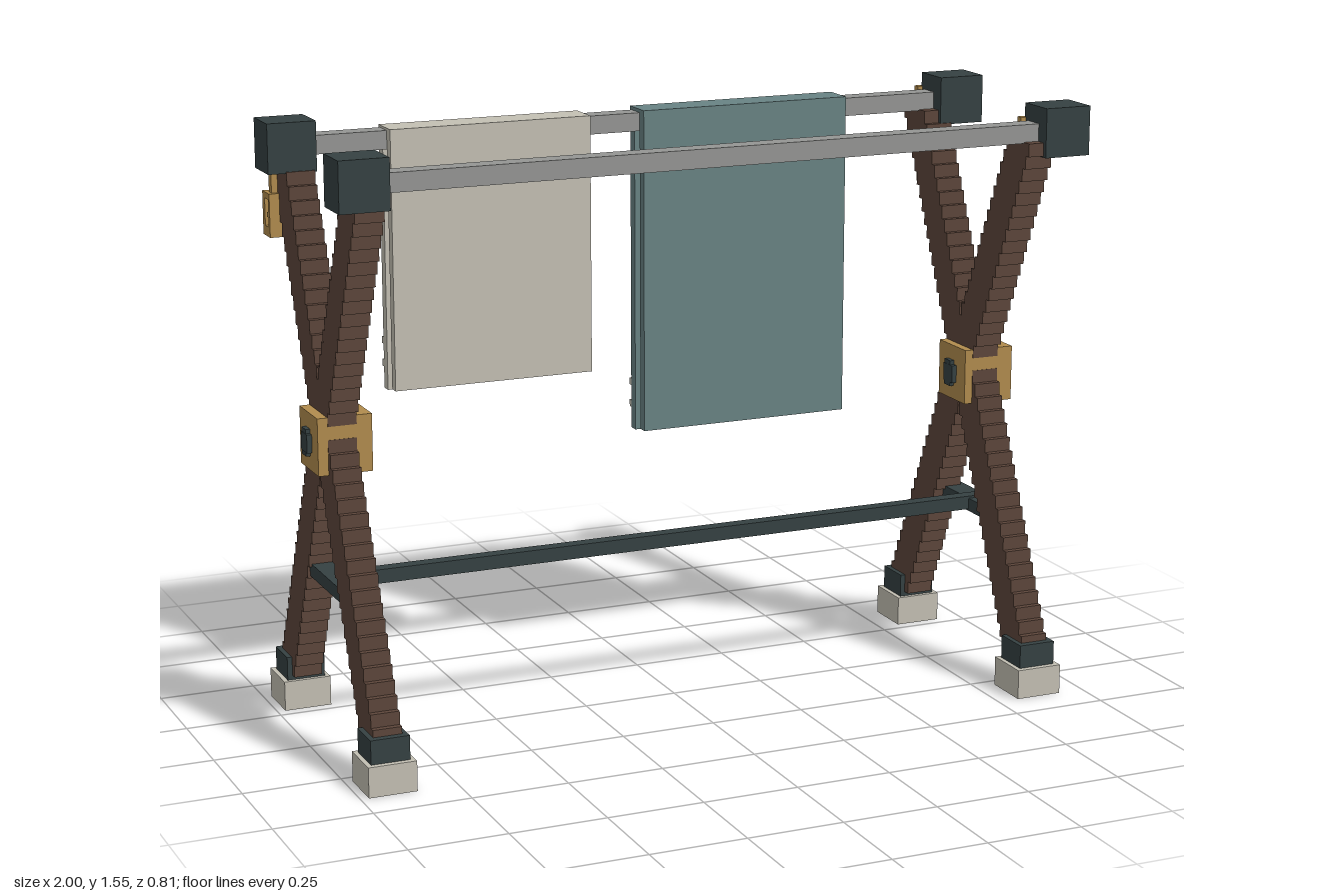
import * as THREE from 'three';

const mat = (name, color) => Object.assign(new THREE.MeshStandardMaterial({ color }), { name });

export function createModel() {
  const wood = mat('brown wood', 0x5d463b);
  const dark = mat('dark slate', 0x354142);
  const gold = mat('brass', 0xb18c4e);
  const cream = mat('cream cloth', 0xc4c0b4);
  const teal = mat('teal cloth', 0x698384);
  const steel = mat('grey steel', 0x959694);

  const model = new THREE.Group();
  model.name = 'towelRack';

  // Box given by its extents on each axis
  function box(parent, name, material, [x0, x1], [y0, y1], [z0, z1]) {
    const mesh = new THREE.Mesh(new THREE.BoxGeometry(x1 - x0, y1 - y0, z1 - z0), material);
    mesh.position.set((x0 + x1) / 2, (y0 + y1) / 2, (z0 + z1) / 2);
    mesh.name = name;
    parent.add(mesh);
    return mesh;
  }
  const around = (c, size) => [c - size / 2, c + size / 2];

  // Leg with stair-stepped front and back, leaning along z
  const STEPS = 40, Y0 = 0.09, Y1 = 1.46, LEAN = 0.457, CROSS_Y = 0.825, HALF = 0.058, LEG_W = 0.074;
  function legGeometry(lean) {
    const h = (Y1 - Y0) / STEPS;
    const right = [], left = [];
    for (let i = 0; i < STEPS; i++) {
      const y = Y0 + i * h;
      const c = lean * (y + h / 2 - CROSS_Y);
      right.push(new THREE.Vector2(c + HALF, y), new THREE.Vector2(c + HALF, y + h));
      left.push(new THREE.Vector2(c - HALF, y), new THREE.Vector2(c - HALF, y + h));
    }
    const shape = new THREE.Shape([...right, ...left.reverse()]);
    const geo = new THREE.ExtrudeGeometry(shape, { depth: LEG_W, bevelEnabled: false });
    geo.translate(0, 0, -LEG_W / 2);
    geo.rotateY(-Math.PI / 2);
    return geo;
  }
  const legs = [legGeometry(LEAN), legGeometry(-LEAN)];

  // One crossed trestle; positions differ slightly between the two ends
  function trestle(name, p) {
    const g = new THREE.Group();
    g.name = name;
    legs.forEach((geo, i) => {
      const leg = new THREE.Mesh(geo, wood);
      leg.name = i ? 'legLeaningBack' : 'legLeaningForward';
      leg.position.x = p.leg;
      g.add(leg);
    });
    // Feet and ankle collars
    for (const s of [1, -1]) {
      box(g, 'foot', cream, around(p.leg, 0.124), [0, 0.078], around(s * 0.341, 0.126));
      box(g, 'ankleCollar', dark, around(p.leg, 0.1), [0.078, 0.14], around(s * 0.339, 0.1));
    }
    // Top caps with a brass plate on the rear face
    for (const z of [0.297, -0.268]) {
      box(g, 'cap', dark, around(p.cap, 0.126), [1.422, 1.549], around(z, 0.111));
      box(g, 'capPlate', gold, around(p.plate, 0.08), [1.452, 1.512], [z - 0.07, z - 0.05]);
    }
    // Centre hub with a stepped plug through it
    box(g, 'hub', gold, around(p.hub, 0.14), [0.72, 0.866], [-0.072, 0.072]);
    box(g, 'hubPlug', dark, around(p.hub, 0.166), [0.768, 0.815], [-0.024, 0.024]);
    box(g, 'hubPlug', dark, around(p.hub, 0.164), [0.757, 0.826], [-0.022, 0.011]);
    // Side cross bar
    box(g, 'crossBar', dark, around(p.bar, 0.06), [0.405, 0.44], [-0.164, 0.172]);
    // Hanging hook: strap and open ring
    const hx = around(p.hook, 0.05);
    box(g, 'hookStrap', gold, around(p.hook, 0.03), [1.355, 1.425], [-0.312, -0.29]);
    box(g, 'hookRing', gold, hx, [1.25, 1.275], [-0.337, -0.278]);
    box(g, 'hookRing', gold, hx, [1.345, 1.361], [-0.337, -0.278]);
    box(g, 'hookRing', gold, hx, [1.25, 1.361], [-0.29, -0.278]);
    box(g, 'hookRing', gold, hx, [1.25, 1.361], [-0.337, -0.318]);
    box(g, 'hookTip', gold, hx, [1.3, 1.312], [-0.3, -0.288]);
    model.add(g);
  }
  trestle('rightTrestle', { leg: -0.917, cap: -0.937, plate: -0.935, hub: -0.91, bar: -0.917, hook: -0.955 });
  trestle('leftTrestle', { leg: 0.869, cap: 0.937, plate: 0.9, hub: 0.88, bar: 0.89, hook: 0.895 });

  // Rails and lower stretcher
  box(model, 'frontRail', steel, [-0.9, 0.9], [1.457, 1.505], [0.26, 0.313]);
  box(model, 'backRail', steel, [-0.9, 0.9], [1.457, 1.505], [-0.307, -0.254]);
  box(model, 'stretcher', dark, [-0.91, 0.9], [0.41, 0.446], [-0.018, 0.018]);

  // Towel folded over the back rail, with bands and a buckle on the rear
  function towel(name, material, x, bottom, top, buckleX) {
    const g = new THREE.Group();
    g.name = name;
    box(g, 'frontPanel', material, x, [bottom + 0.01, top - 0.02], [-0.253, -0.226]);
    box(g, 'backPanel', material, x, [bottom, top - 0.02], [-0.315, -0.287]);
    box(g, 'fold', material, x, [top - 0.03, top], [-0.317, -0.226]);
    const z = [-0.326, -0.314], zb = [-0.331, -0.314];
    for (const dy of [0.065, 0.125]) box(g, 'band', cream, x, around(bottom + dy, 0.018), z);
    const cy = bottom + 0.112, r = 0.062, t = 0.016;
    for (const s of [1, -1]) {
      box(g, 'buckleFrame', cream, around(buckleX, 2 * r), around(cy + s * (r - t / 2), t), zb);
      box(g, 'buckleFrame', cream, around(buckleX + s * (r - t / 2), t), around(cy, 2 * r), zb);
    }
    box(g, 'buckleCentre', cream, around(buckleX, 0.06), around(cy, 0.05), zb);
    model.add(g);
  }
  towel('creamTowel', cream, [-0.677, -0.136], 0.826, 1.511, -0.455);
  towel('tealTowel', teal, [0.013, 0.596], 0.648, 1.514, 0.24);

  return model;
}
